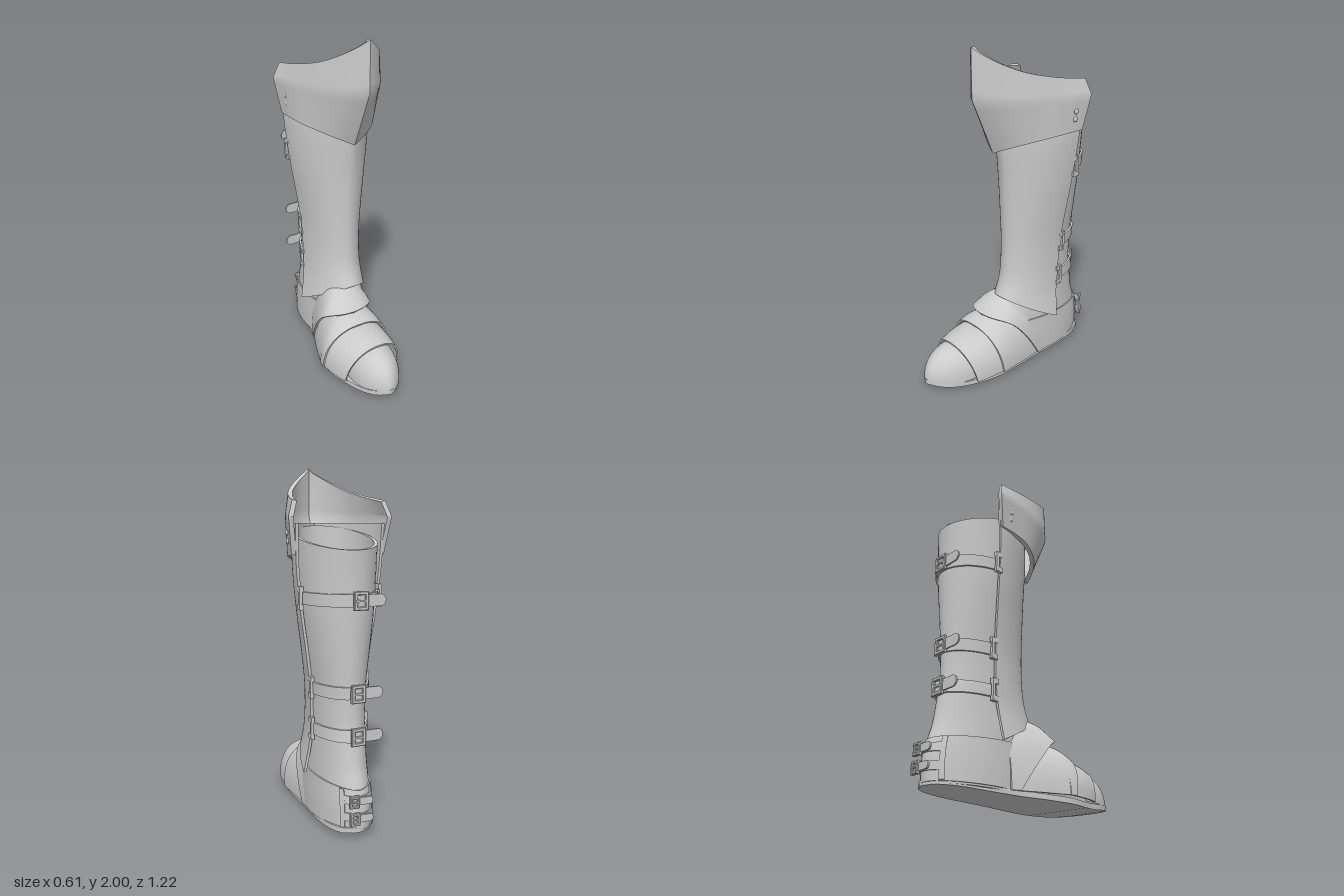
import * as THREE from 'three';
import { toCreasedNormals } from 'three/addons/utils/BufferGeometryUtils.js';

const material = new THREE.MeshStandardMaterial({ color: 0xcccccc, side: THREE.DoubleSide });
const PI = Math.PI;
const lerp = THREE.MathUtils.lerp;
const signedPow = (x, e) => Math.sign(x) * Math.abs(x) ** e;

// Smooth interpolation of rows [key, a, b, ...]; returns [a, b, ...]
function sample(rows, t) {
  const n = rows.length - 1;
  t = THREE.MathUtils.clamp(t, rows[0][0], rows[n][0]);
  let i = 0;
  while (i < n - 1 && t > rows[i + 1][0]) i++;
  const slope = (k, c) => {
    const a = rows[Math.max(k - 1, 0)], b = rows[Math.min(k + 1, n)];
    return (b[c] - a[c]) / (b[0] - a[0]);
  };
  const p = rows[i], q = rows[i + 1], d = q[0] - p[0], s = (t - p[0]) / d;
  return p.slice(1).map((_, k) => {
    const c = k + 1;
    return (2 * s ** 3 - 3 * s * s + 1) * p[c] + (s ** 3 - 2 * s * s + s) * d * slope(i, c)
      + (3 * s * s - 2 * s ** 3) * q[c] + (s ** 3 - s * s) * d * slope(i + 1, c);
  });
}

function part(name, geometry, parent) {
  const mesh = new THREE.Mesh(geometry, material);
  mesh.name = name;
  parent.add(mesh);
  return mesh;
}

// Plate of even thickness under the surface fn(u, v), closed by a rim
function shell(fn, nu, nv, thickness) {
  const pos = [], idx = [], e = 1e-3, layer = (nu + 1) * (nv + 1);
  const at = (u, v) => new THREE.Vector3(...fn(u, v));
  const inner = [];
  for (let j = 0; j <= nv; j++) for (let i = 0; i <= nu; i++) {
    const u = i / nu, v = j / nv, p = at(u, v);
    const n = at(u + e, v).sub(at(u - e, v)).cross(at(u, v + e).sub(at(u, v - e))).normalize();
    pos.push(p.x, p.y, p.z);
    inner.push(...p.addScaledVector(n, -thickness).toArray());
  }
  const quad = (a, b, c, d) => idx.push(a, b, c, a, c, d);
  const O = (i, j) => j * (nu + 1) + i, I = (i, j) => O(i, j) + layer;
  for (let j = 0; j < nv; j++) for (let i = 0; i < nu; i++) {
    quad(O(i, j), O(i + 1, j), O(i + 1, j + 1), O(i, j + 1));
    quad(I(i, j), I(i, j + 1), I(i + 1, j + 1), I(i + 1, j));
  }
  for (let i = 0; i < nu; i++) {
    quad(I(i, 0), I(i + 1, 0), O(i + 1, 0), O(i, 0));
    quad(O(i, nv), O(i + 1, nv), I(i + 1, nv), I(i, nv));
  }
  for (let j = 0; j < nv; j++) {
    quad(I(0, j), O(0, j), O(0, j + 1), I(0, j + 1));
    quad(O(nu, j), I(nu, j), I(nu, j + 1), O(nu, j + 1));
  }
  const g = new THREE.BufferGeometry();
  g.setAttribute('position', new THREE.Float32BufferAttribute(pos.concat(inner), 3));
  g.setIndex(idx);
  return toCreasedNormals(g, 0.6);
}

// Boot body rings: height, back z, front z, half width
const BODY = [
  [0.03, -0.57, 0.1, 0.155], [0.15, -0.572, 0.12, 0.155], [0.25, -0.56, 0.12, 0.152], [0.35, -0.53, 0.1, 0.15],
  [0.43, -0.515, 0.06, 0.146], [0.5, -0.505, 0.025, 0.143], [0.6, -0.49, 0.015, 0.142], [0.8, -0.49, 0.01, 0.15],
  [1.0, -0.5, 0.015, 0.175], [1.2, -0.51, 0.025, 0.2], [1.4, -0.515, 0.035, 0.215], [1.68, -0.53, 0.04, 0.226]];
function bodyPoint(angle, y, offset = 0) {
  const [zb, zf, hw] = sample(BODY, y);
  return [-0.015 + 0.01 * y + (hw + offset) * Math.sin(angle), y,
    (zb + zf) / 2 + ((zf - zb) / 2 + offset) * Math.cos(angle)];
}

// Greave: height, back-edge z, front z, half width
const GREAVE = [
  [0.28, -0.235, 0.14, 0.2], [0.45, -0.25, 0.083, 0.172], [0.55, -0.26, 0.048, 0.167], [0.65, -0.265, 0.035, 0.166],
  [0.8, -0.27, 0.03, 0.172], [1.0, -0.28, 0.035, 0.197], [1.2, -0.29, 0.045, 0.226], [1.45, -0.303, 0.07, 0.252],
  [1.68, -0.32, 0.08, 0.26]];
const greaveCentre = (y) => -0.02 + 0.01 * y;
function greavePoint(u, v) {
  const a = (u - 0.5) * PI;
  const y = lerp(0.28 + 0.18 * Math.cos(a), 1.68, v);
  const [zb, zf, hw] = sample(GREAVE, y);
  const bow = Math.cos(a) - 0.12 * v * v * Math.sin(2 * Math.abs(a));
  return [greaveCentre(y) + hw * Math.sin(a), y, zb + (zf - zb) * bow];
}

// Knee guard edges from ridge to end: t, x, y, z
const KNEE_TOP = [[0, 0, 2, 0.25], [0.08, 0.045, 1.967, 0.22], [0.2, 0.112, 1.92, 0.155], [0.4, 0.18, 1.87, 0.045],
  [0.6, 0.225, 1.838, -0.08], [0.8, 0.253, 1.817, -0.2], [1, 0.27, 1.803, -0.31]];
const KNEE_MID = [[0, 0, 1.72, 0.25], [0.08, 0.047, 1.72, 0.222], [0.2, 0.115, 1.72, 0.16], [0.4, 0.192, 1.72, 0.05],
  [0.6, 0.242, 1.72, -0.08], [0.8, 0.277, 1.72, -0.21], [1, 0.3, 1.715, -0.335]];
const KNEE_LOW = [[0, 0, 1.39, 0.105], [0.08, 0.04, 1.41, 0.094], [0.2, 0.1, 1.437, 0.07], [0.4, 0.175, 1.47, 0.005],
  [0.6, 0.235, 1.495, -0.1], [0.8, 0.26, 1.507, -0.2], [1, 0.272, 1.513, -0.3]];
function kneePoint(u, v) {
  const s = u * 2 - 1, t = Math.min(Math.abs(s), 1);
  const [a, b, k] = v < 0.5 ? [KNEE_LOW, KNEE_MID, v * 2] : [KNEE_MID, KNEE_TOP, v * 2 - 1];
  const p = sample(a, t), q = sample(b, t);
  const [x, y, z] = p.map((c, i) => lerp(c, q[i], k));
  // carry the plate straight on past its ends
  return [Math.sign(s) * x - 0.03 * (1 - t), y, z - 0.27 * (Math.abs(s) - t)];
}

// Foot plate: arched sections, rows are z, centre x, half width, top height;
// the front edge sweeps back by slant toward the sole
function footPlate(rows, slant) {
  return (u, v) => {
    const a = u * PI, s = Math.sin(a);
    const z = lerp(rows[0][0], rows[rows.length - 1][0] - slant * (1 - s), v);
    const [cx, w, top] = sample(rows, z);
    return [cx + w * signedPow(Math.cos(a), 0.9), 0.04 + (top - 0.04) * signedPow(s, 0.9), z];
  };
}
function toePoint(u, v) {
  const a = u * PI, s = Math.sin(v * 0.97 * PI / 2), z = lerp(0.34, 0.606, s);
  const w = 0.155 * (1 - s * s) ** 0.6, h = 0.2 * (1 - Math.abs(s) ** 2.5) ** 0.5;
  return [lerp(-0.068, -0.09, s) + w * Math.cos(a), 0.045 + h * signedPow(Math.sin(a), 0.9), z];
}

// Sole outline: z, centre x, half width
const SOLE = [[-0.575, 0, 0.02], [-0.55, 0, 0.075], [-0.45, -0.005, 0.125], [-0.3, -0.01, 0.145], [-0.1, -0.03, 0.16],
  [0.05, -0.055, 0.185], [0.2, -0.075, 0.197], [0.35, -0.078, 0.165], [0.5, -0.085, 0.118], [0.57, -0.09, 0.068], [0.606, -0.09, 0.01]];
const SOLE_RISE = [[-0.58, 0.03], [-0.1, 0.014], [0.25, 0], [0.4, 0.005], [0.61, 0.035]];
function soleGeometry() {
  const side = (sign) => Array.from({ length: 41 }, (_, i) => {
    const z = lerp(-0.575, 0.606, i / 40), [cx, w] = sample(SOLE, z);
    return new THREE.Vector2(cx + sign * w, -z);
  });
  const shape = new THREE.Shape([...side(1), ...side(-1).reverse()]);
  const g = new THREE.ExtrudeGeometry(shape, { depth: 0.03, bevelEnabled: false }).rotateX(-PI / 2);
  const p = g.attributes.position;
  for (let i = 0; i < p.count; i++) p.setY(i, p.getY(i) + sample(SOLE_RISE, p.getZ(i))[0]);
  return toCreasedNormals(g, 0.6);
}

// Buckle frame with prong and loose strap end, facing -z
function buckle(name, size, tailLength, parent) {
  const g = new THREE.Group();
  g.name = name;
  const box = (s, w, h) => s.moveTo(-w, -h).lineTo(w, -h).lineTo(w, h).lineTo(-w, h);
  const frame = box(new THREE.Shape(), 0.038 * size, 0.046 * size);
  frame.holes.push(box(new THREE.Path(), 0.026 * size, 0.034 * size));
  part('buckleFrame', new THREE.ExtrudeGeometry(frame,
    { depth: 0.014, bevelSize: 0.004, bevelThickness: 0.004, bevelSegments: 1 }), g).position.z = -0.022;
  part('buckleProng', new THREE.BoxGeometry(0.07 * size, 0.01 * size, 0.01), g).position.z = -0.022;
  const h = 0.032 * size, tail = new THREE.Shape();
  tail.moveTo(0.02, -h).lineTo(0.02, h).lineTo(-tailLength + h, h);
  tail.absarc(-tailLength + h, 0, h, PI / 2, PI * 1.5, false);
  part('strapEnd', new THREE.ExtrudeGeometry(tail, { depth: 0.01, bevelEnabled: false }), g).position.z = -0.016;
  parent.add(g);
  return g;
}

export function createModel() {
  const model = new THREE.Group();
  model.name = 'armouredBoot';

  // Boot body, open at the top, and sole
  part('bootBody', shell((u, v) => {
    const a = u * 2 * PI;
    return bodyPoint(a, lerp(0.035, 1.605 + 0.06 * Math.cos(a), v));
  }, 48, 48, 0.02), model);
  part('sole', soleGeometry(), model);

  // Overlapping foot plates
  part('toeCap', shell(toePoint, 32, 16, 0.004), model);
  part('middleFootPlate', shell(footPlate(
    [[0.15, -0.077, 0.224, 0.287], [0.3, -0.075, 0.208, 0.275], [0.425, -0.066, 0.176, 0.25]], 0.05), 32, 10, 0.012), model);
  part('upperFootPlate', shell(footPlate(
    [[-0.12, -0.03, 0.165, 0.3], [0.0, -0.05, 0.195, 0.335], [0.1, -0.065, 0.215, 0.345],
      [0.17, -0.075, 0.228, 0.333], [0.24, -0.077, 0.233, 0.295]], 0.05), 32, 14, 0.012), model);
  part('instep', shell(footPlate(
    [[-0.16, -0.022, 0.165, 0.42], [-0.05, -0.04, 0.192, 0.468], [0.05, -0.06, 0.216, 0.455],
      [0.1, -0.068, 0.226, 0.42], [0.18, -0.077, 0.24, 0.352]], 0.29), 32, 14, 0.012), model);

  // Shin and knee armour
  part('greave', shell(greavePoint, 40, 32, 0.016), model);
  part('kneeGuard', shell(kneePoint, 48, 12, 0.026), model);
  for (const side of [-1, 1]) for (const y of [1.63, 1.585]) {
    const rivet = part('kneeRivet', new THREE.SphereGeometry(0.016, 12, 8), model);
    rivet.scale.x = 0.5;
    rivet.position.set(side * (0.272 + (y - 1.585) * 0.1), y, -0.24);
  }

  // Calf straps with end clips and buckles
  for (const y of [1.285, 0.785, 0.55]) {
    part('calfStrap', shell((u, v) => bodyPoint(lerp(1.65, 4.63, u), y + (v - 0.5) * 0.068, 0.014), 32, 1, 0.012), model);
    const [zb, , hw] = sample(GREAVE, y);
    for (const side of [-1, 1]) {
      const x = greaveCentre(y) + side * hw;
      part('clipBar', new THREE.BoxGeometry(0.016, 0.12, 0.016), model).position.set(x, y, zb - 0.022);
      for (const end of [-1, 1]) {
        part('strapClip', new THREE.BoxGeometry(0.02, 0.03, 0.042), model)
          .position.set(x - side * 0.004, y + end * 0.048, zb - 0.01);
      }
    }
    const b = buckle('calfBuckle', 1, 0.15, model);
    b.position.set(-0.02, y, sample(BODY, y)[0] - 0.014);
    b.rotation.y = 0.06;
  }

  // Heel guard running under the instep, closed by two small buckled straps
  part('heelGuard', shell((u, v) => bodyPoint(lerp(0.95, 5.33, u),
    lerp(0.045, 0.265 + 0.035 * Math.abs(2 * u - 1), v), 0.008), 40, 8, 0.012), model);
  for (const side of [-1, 1]) {
    part('heelGuardEdge', shell((u, v) => bodyPoint(PI + side * 0.55 + (u - 0.5) * 0.12,
      lerp(0.05, 0.27, v), 0.016), 2, 6, 0.012), model);
  }
  for (const y of [0.215, 0.12]) {
    part('heelStrap', shell((u, v) => bodyPoint(lerp(PI - 0.6, PI + 0.6, u), y + (v - 0.5) * 0.045, 0.016), 12, 1, 0.01), model);
    buckle('heelBuckle', 0.65, 0.11, model).position.set(0.03, y, sample(BODY, y)[0] - 0.012);
  }
  return model;
}
